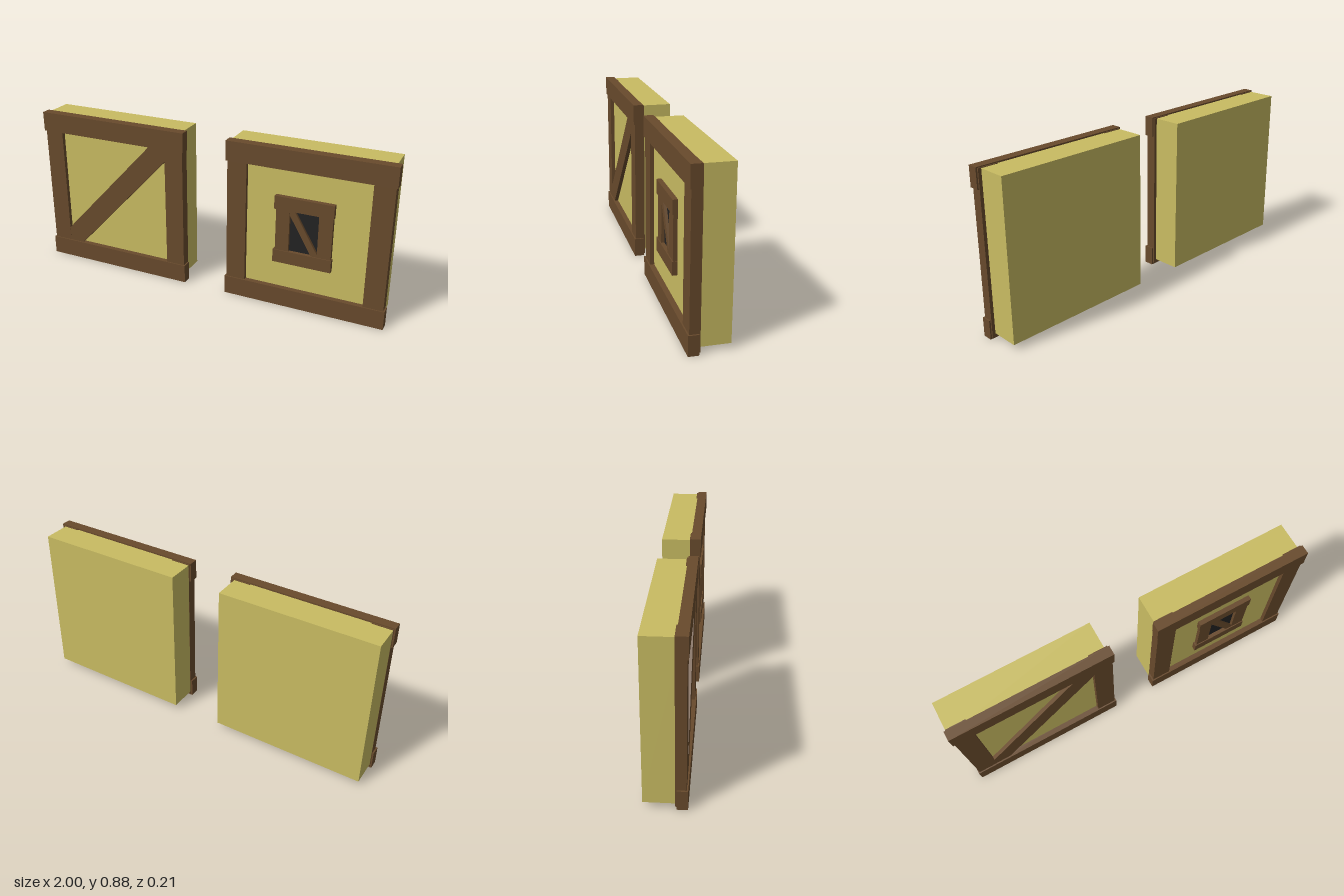
import * as THREE from 'three';

const timber = new THREE.MeshStandardMaterial({ color: 0x684a2c });
timber.name = 'brown timber';
const plaster = new THREE.MeshStandardMaterial({ color: 0xc9bc62 });
plaster.name = 'yellow plaster';
const glass = new THREE.MeshStandardMaterial({ color: 0x222222 });
glass.name = 'dark glass';

// Box given by its lower and upper limits on each axis
function block(name, material, [x0, x1], [y0, y1], [z0, z1]) {
  const mesh = new THREE.Mesh(new THREE.BoxGeometry(x1 - x0, y1 - y0, z1 - z0), material);
  mesh.position.set((x0 + x1) / 2, (y0 + y1) / 2, (z0 + z1) / 2);
  mesh.name = name;
  return mesh;
}

// Slanted beam centred on a point
function brace(length, width, angle, x, y, [z0, z1]) {
  const mesh = block('diagonalBrace', timber, [-length / 2, length / 2], [-width / 2, width / 2], [z0, z1]);
  mesh.position.x = x;
  mesh.position.y = y;
  mesh.rotation.z = angle;
  return mesh;
}

// Plaster slab with two posts and two overlapping rails, centred on x = 0
function wallPanel(name) {
  const panel = new THREE.Group();
  panel.name = name;
  panel.add(block('plasterWall', plaster, [-0.43, 0.414], [0.028, 0.872], [-0.103, 0.076]));
  for (const [side, x] of [['right', -0.378], ['left', 0.378]])
    panel.add(block(side + 'Post', timber, [x - 0.053, x + 0.053], [0.01, 0.875], [0.046, 0.098]));
  panel.add(block('bottomRail', timber, [-0.439, 0.439], [0, 0.103], [0.053, 0.105]));
  panel.add(block('topRail', timber, [-0.439, 0.439], [0.773, 0.88], [0.053, 0.105]));
  return panel;
}

// Small framed window with a slanted bar
function windowFrame() {
  const win = new THREE.Group();
  win.name = 'window';
  win.add(block('windowPane', glass, [0.465, 0.64], [0.31, 0.57], [0.075, 0.081]));
  for (const [side, x] of [['right', 0.403], ['left', 0.63]])
    win.add(block(side + 'WindowPost', timber, [x, x + 0.073], [0.262, 0.62], [0.06, 0.097]));
  win.add(block('windowSill', timber, [0.393, 0.707], [0.255, 0.325], [0.06, 0.102]));
  win.add(block('windowLintel', timber, [0.393, 0.707], [0.555, 0.627], [0.06, 0.102]));
  win.add(brace(0.32, 0.035, -1.04, 0.552, 0.437, [0.07, 0.096]));
  return win;
}

export function createModel() {
  const model = new THREE.Group();
  model.name = 'timberFramedWalls';

  const braced = wallPanel('bracedWall');
  braced.position.x = -0.561;
  braced.add(brace(1.0, 0.117, 0.815, -0.006, 0.437, [0.05, 0.097]));

  const windowed = wallPanel('windowWall');
  windowed.position.x = 0.561;

  model.add(braced, windowed, windowFrame());
  return model;
}
